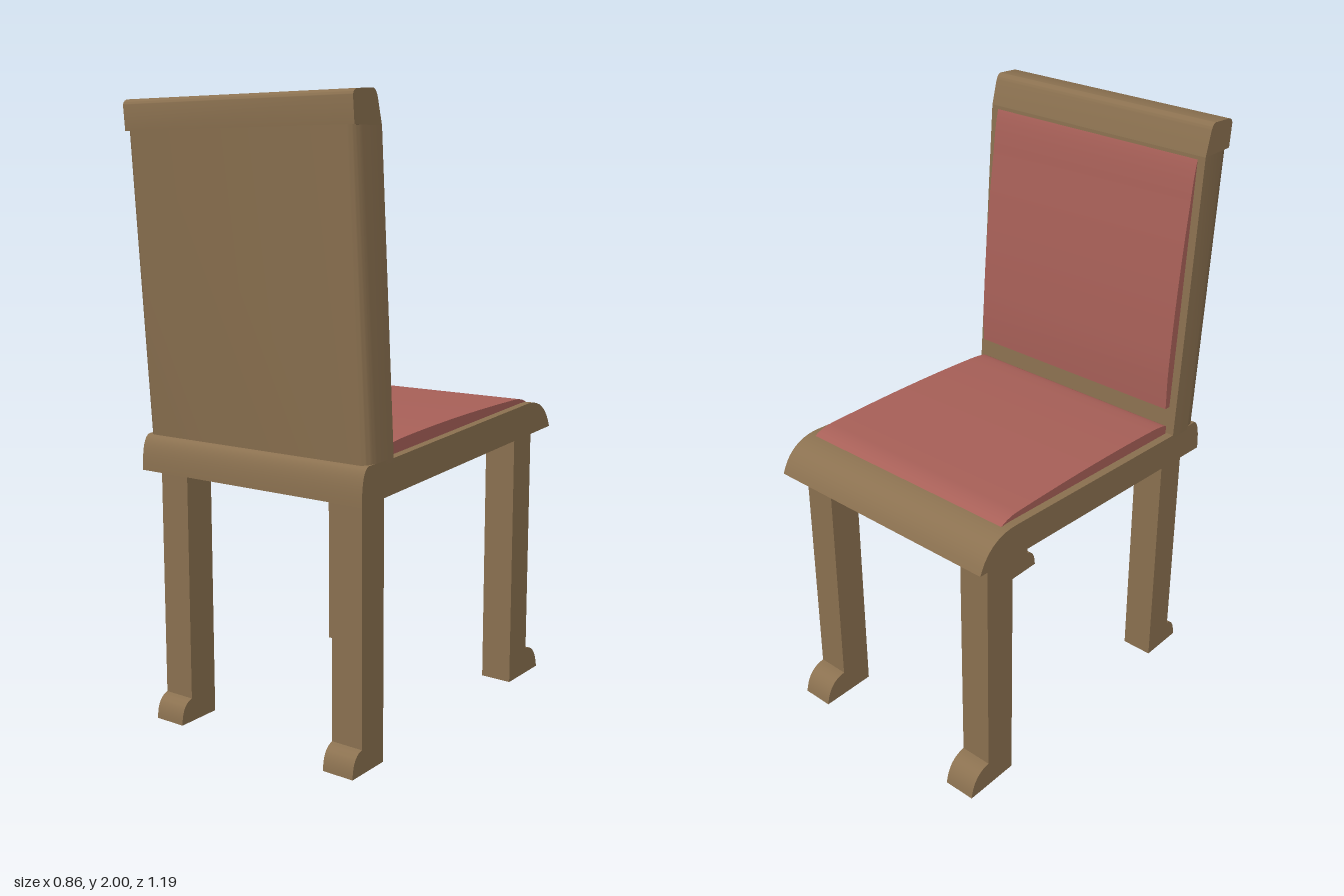
import * as THREE from 'three';
import { toCreasedNormals } from 'three/addons/utils/BufferGeometryUtils.js';

const wood = new THREE.MeshStandardMaterial({ color: 0x8b7150 });
const fabric = new THREE.MeshStandardMaterial({ color: 0xa86058 });

// Outline from points: [a, b] is a straight line, [ca, cb, a, b] a curve through a control point
function outline(points) {
  const shape = new THREE.Shape();
  points.forEach((p, i) => {
    if (i === 0) shape.moveTo(p[0], p[1]);
    else if (p.length === 2) shape.lineTo(p[0], p[1]);
    else shape.quadraticCurveTo(p[0], p[1], p[2], p[3]);
  });
  return shape;
}

function extrude(points, depth) {
  return new THREE.ExtrudeGeometry(outline(points), { depth, bevelEnabled: false, curveSegments: 10 });
}

function part(name, geometry, material) {
  const mesh = new THREE.Mesh(toCreasedNormals(geometry, 0.6), material);
  mesh.name = name;
  return mesh;
}

// Side profile in (z, y), swept across the width and centred on x
function sidePart(name, points, width, material, x = 0) {
  const geometry = extrude(points, width);
  geometry.translate(0, 0, -width / 2).rotateY(-Math.PI / 2).translate(x, 0, 0);
  return part(name, geometry, material);
}

export function createModel() {
  const chair = new THREE.Group();
  chair.name = 'chair';
  const width = 0.864, padWidth = 0.81;

  // Seat slab with a rounded front nose and back edge
  chair.add(sidePart('seat', [
    [0.55, 0.835], [0.55, 0.945, 0.515, 0.95], [0.385, 0.953], [-0.42, 1.003],
    [-0.54, 1.01, -0.58, 0.903],
  ], width, wood));

  // Padded seat, domed towards the front
  chair.add(sidePart('seatCushion', [
    [0.385, 0.945], [0.385, 0.98], [0.38, 0.99, 0.3, 0.997],
    [0.0, 1.02, -0.38, 1.02], [-0.43, 1.02, -0.463, 0.998], [-0.42, 0.99],
  ], padWidth, fabric));

  // Leaning backrest with softened rear corners
  const h = width / 2, base = 0.94, top = 1.9, lean = 0.07;
  const back = extrude([
    [-h, 0.39], [h, 0.39], [h, 0.475], [h - 0.003, 0.515, h - 0.025, 0.52],
    [-h + 0.025, 0.52], [-h + 0.003, 0.515, -h, 0.475],
  ], top - base);
  back.rotateX(Math.PI / 2).translate(0, top, 0);
  const pos = back.attributes.position;
  for (let i = 0; i < pos.count; i++) {
    pos.setZ(i, pos.getZ(i) + (pos.getY(i) - 0.95) * lean);
  }
  chair.add(part('backrest', back, wood));

  // Rounded top rail
  chair.add(sidePart('topRail', [
    [0.4565, 1.9], [0.5865, 1.9], [0.593, 1.975], [0.593, 1.99, 0.575, 1.995],
    [0.5, 2.0], [0.485, 2.0, 0.477, 1.975],
  ], width, wood));

  // Padded back, thickest near the bottom
  chair.add(sidePart('backCushion', [
    [0.41, 1.05], [0.375, 1.05], [0.374, 1.16], [0.388, 1.45, 0.432, 1.75],
    [0.445, 1.87, 0.462, 1.905], [0.47, 1.88],
  ], padWidth, fabric));

  // Square legs, each with a rounded toe pointing outward
  for (const side of [-1, 1]) {
    const name = side > 0 ? 'left' : 'right';
    chair.add(sidePart(name + 'BackLeg', [
      [0.388, 0], [0.547, 0], [0.545, 0.07, 0.5, 0.078], [0.5, 0.87], [0.388, 0.87],
    ], 0.11, wood, side * 0.342));
    chair.add(sidePart(name + 'FrontLeg', [
      [-0.395, 0.008], [-0.593, 0.008], [-0.58, 0.095, -0.51, 0.1], [-0.51, 0.92], [-0.395, 0.92],
    ], 0.11, wood, side * 0.342));
  }
  return chair;
}
